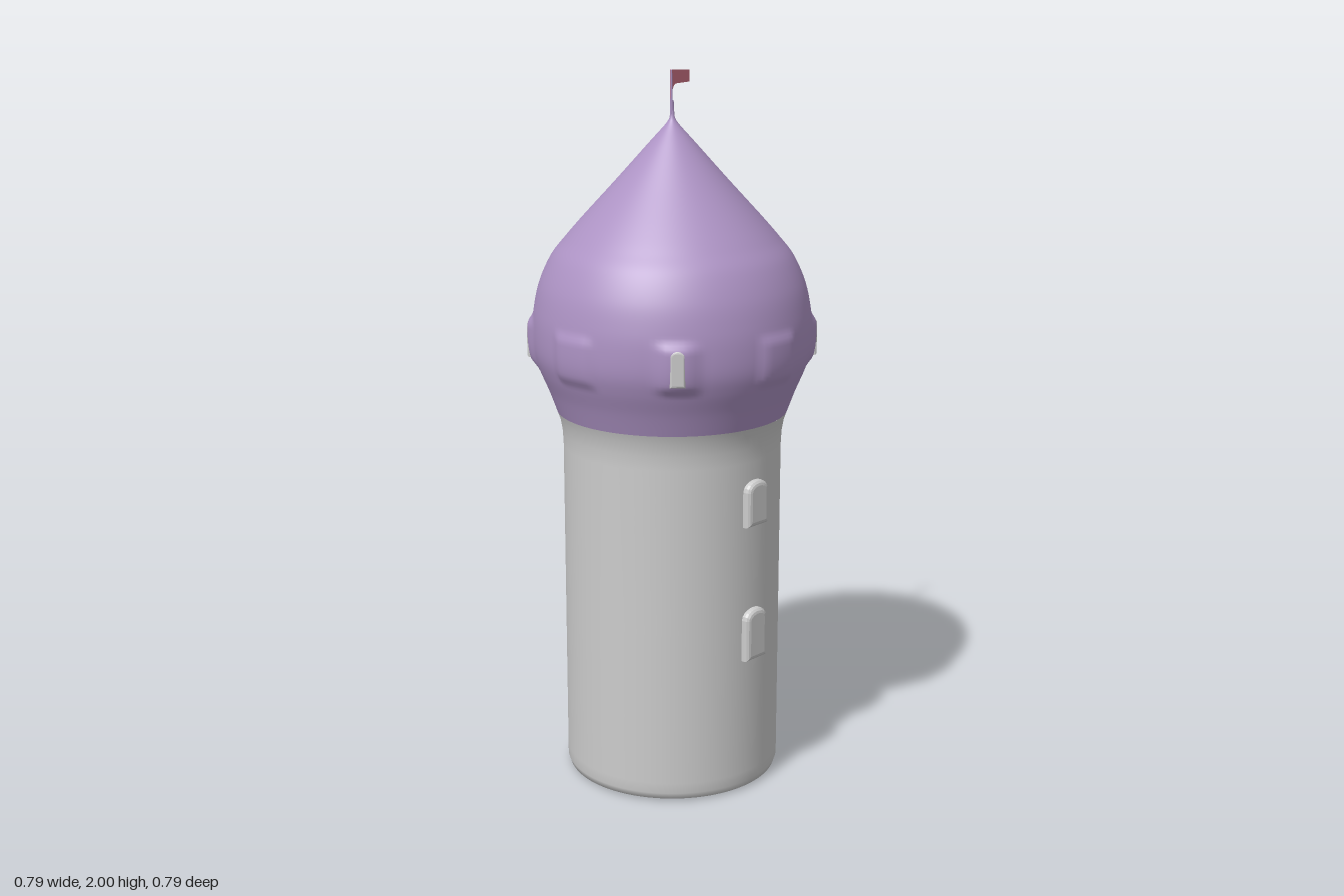
import * as THREE from 'three';
import { mergeVertices } from 'three/addons/utils/BufferGeometryUtils.js';

const V = (x, y) => new THREE.Vector2(x, y);
const grey = new THREE.MeshStandardMaterial({ color: 0xcccccc });
const purple = new THREE.MeshStandardMaterial({ color: 0xad93c4 });
const red = new THREE.MeshStandardMaterial({ color: 0xbc697a, side: THREE.DoubleSide });

function add(parent, name, geometry, material) {
  const mesh = new THREE.Mesh(geometry, material);
  mesh.name = name;
  parent.add(mesh);
  return mesh;
}

// Upright panel with a rounded top and softened rim, base at y = 0, facing +z
function archedPanel(width, height, depth, bevel) {
  const w = width / 2 - bevel, h = height - 2 * bevel;
  const shape = new THREE.Shape();
  shape.moveTo(-w, 0);
  shape.lineTo(w, 0);
  shape.lineTo(w, h - w * 0.8);
  shape.bezierCurveTo(w, h, -w, h, -w, h - w * 0.8);
  const geometry = new THREE.ExtrudeGeometry(shape, {
    depth: depth - bevel, bevelEnabled: true, bevelSize: bevel,
    bevelThickness: bevel, bevelSegments: 3, curveSegments: 10,
  });
  return geometry.translate(0, bevel, 0);
}

// Onion dome with shallow swellings where the openings are
function domeGeometry() {
  const lower = new THREE.SplineCurve([
    V(0.323, 1.07), V(0.345, 1.13), V(0.37, 1.19), V(0.384, 1.24), V(0.387, 1.3),
    V(0.382, 1.36), V(0.366, 1.43), V(0.334, 1.5), V(0.295, 1.55),
    V(0.247, 1.605), V(0.155, 1.705), V(0.065, 1.805), V(0.014, 1.862),
    V(0.006, 1.885), V(0.004, 1.92),
  ]);
  let geometry = new THREE.LatheGeometry(lower.getSpacedPoints(110), 160);
  geometry.deleteAttribute('uv');
  geometry.deleteAttribute('normal');
  const pos = geometry.attributes.position;
  for (let i = 0; i < pos.count; i++) {
    const x = pos.getX(i), y = pos.getY(i), z = pos.getZ(i);
    const r = Math.hypot(x, z), step = Math.PI / 4;
    const a = Math.atan2(z, x), k = Math.round(a / step);
    const across = Math.abs(a - k * step) * r;
    const up = Math.abs(y - 1.265);
    const diagonal = k % 2 !== 0;
    const lift = (diagonal ? 0.014 : 0.008)
      * (1 - THREE.MathUtils.smoothstep(across, diagonal ? 0.015 : 0.05, 0.075))
      * (1 - THREE.MathUtils.smoothstep(up, 0.045, 0.08));
    const s = 1 + lift / r;
    pos.setXYZ(i, x * s, y, z * s);
  }
  geometry = mergeVertices(geometry, 1e-5);
  geometry.computeVertexNormals();
  return geometry;
}

export function createModel() {
  const model = new THREE.Group();
  model.name = 'tower';

  // Round stone shaft, flaring into the dome
  add(model, 'shaft', new THREE.LatheGeometry([
    V(0, 0.005), V(0.285, 0.005), V(0.285, 0.005), V(0.3, 0.012), V(0.306, 0.03), V(0.306, 0.06),
    V(0.306, 0.5), V(0.306, 0.97), V(0.308, 1.01), V(0.314, 1.045), V(0.323, 1.07),
  ], 96), grey);

  add(model, 'dome', domeGeometry(), purple);

  // Two windows on the front
  const windows = new THREE.Group();
  windows.name = 'frontWindows';
  model.add(windows);
  for (const [y, h] of [[0.4, 0.155], [0.79, 0.135]]) {
    add(windows, 'frontWindow', archedPanel(0.085, h, 0.032, 0.014), grey)
      .position.set(0, y, 0.294);
  }

  // Slim pale openings on the four diagonals of the dome
  for (let i = 0; i < 4; i++) {
    const opening = new THREE.Group();
    opening.name = 'domeOpening';
    opening.rotation.y = Math.PI / 4 + i * Math.PI / 2;
    add(opening, 'openingPanel', archedPanel(0.04, 0.1, 0.022, 0.006), grey)
      .position.set(0, 1.22, 0.38);
    model.add(opening);
  }

  // Thin flagpole
  add(model, 'flagpole', new THREE.CylinderGeometry(0.002, 0.004, 0.12, 10), purple)
    .position.set(-0.003, 1.94, 0);

  // Pennant whose lower hoist corner sweeps down the pole
  const flag = new THREE.Shape();
  flag.moveTo(-0.004, 2);
  flag.lineTo(-0.004, 1.9);
  flag.quadraticCurveTo(0, 1.962, 0.018, 1.963);
  flag.lineTo(0.07, 1.965);
  flag.lineTo(0.07, 1.997);
  add(model, 'flag', new THREE.ExtrudeGeometry(flag, { depth: 0.003, bevelEnabled: false }), red)
    .position.z = -0.005;

  return model;
}
